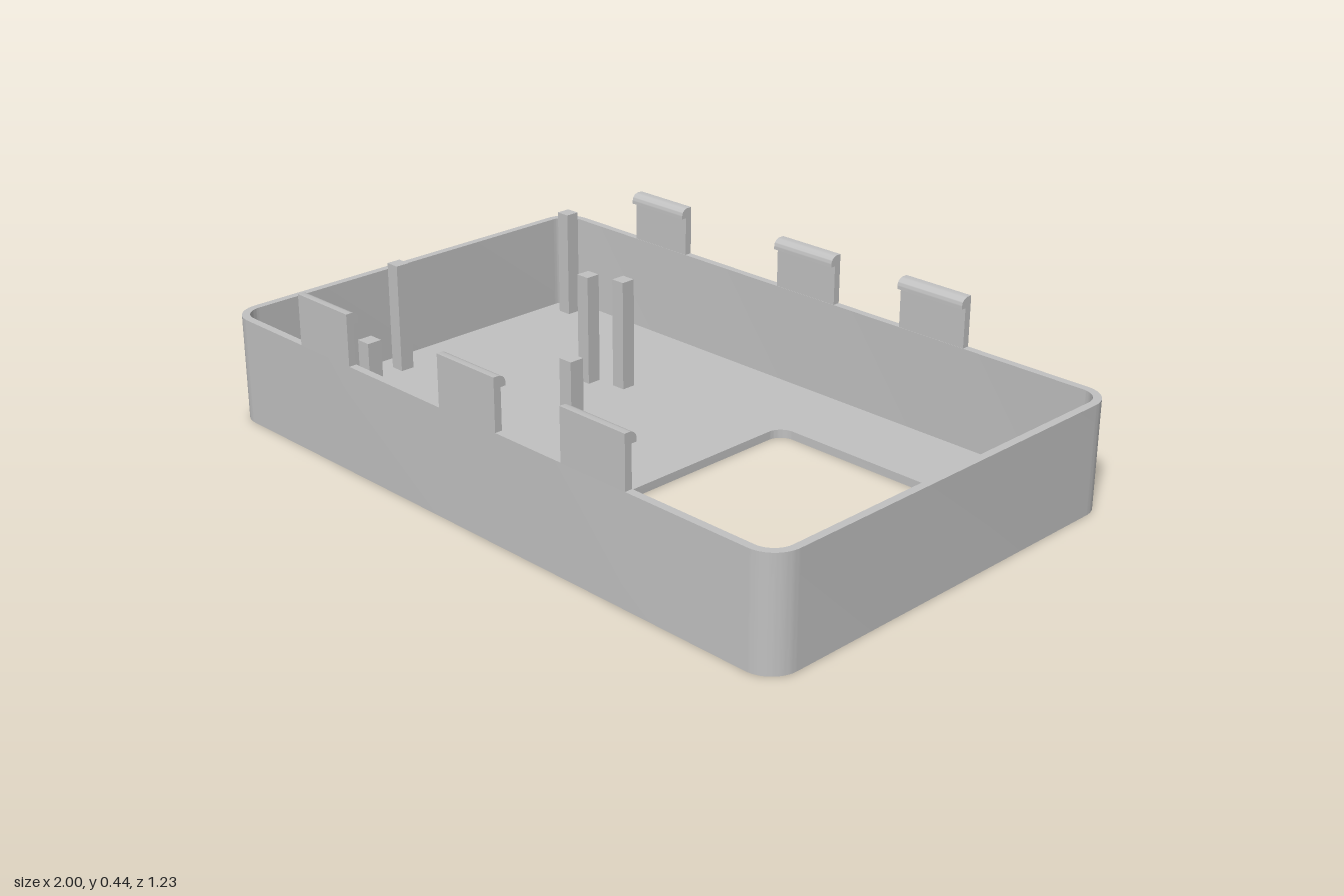
import * as THREE from 'three';
import { toCreasedNormals } from 'three/addons/utils/BufferGeometryUtils.js';

const HALF_X = 1, HALF_Z = 0.617, HEIGHT = 0.3, WALL = 0.022, FLOOR = 0.024, CORNER = 0.08;

// Traces a rounded rectangle into a Shape or Path
function roundedRect(path, x0, x1, y0, y1, r) {
  path.moveTo(x0 + r, y0);
  path.lineTo(x1 - r, y0);
  path.absarc(x1 - r, y0 + r, r, -Math.PI / 2, 0);
  path.lineTo(x1, y1 - r);
  path.absarc(x1 - r, y1 - r, r, 0, Math.PI / 2);
  path.lineTo(x0 + r, y1);
  path.absarc(x0 + r, y1 - r, r, Math.PI / 2, Math.PI);
  path.lineTo(x0, y0 + r);
  path.absarc(x0 + r, y0 + r, r, Math.PI, Math.PI * 1.5);
  return path;
}

function extrude(shape, depth) {
  return new THREE.ExtrudeGeometry(shape, { depth, bevelEnabled: false, curveSegments: 10 });
}

export function createModel() {
  const model = new THREE.Group();
  model.name = 'enclosureTray';
  const plastic = new THREE.MeshStandardMaterial({ color: 0xc0c0c0 });
  plastic.name = 'grey plastic';

  function add(name, geometry, x = 0, y = 0, z = 0) {
    const mesh = new THREE.Mesh(geometry, plastic);
    mesh.name = name;
    mesh.position.set(x, y, z);
    model.add(mesh);
    return mesh;
  }

  const ix = HALF_X - WALL, iz = HALF_Z - WALL, ir = CORNER - WALL;

  // Outer wall ring
  const ring = roundedRect(new THREE.Shape(), -HALF_X, HALF_X, -HALF_Z, HALF_Z, CORNER);
  ring.holes.push(roundedRect(new THREE.Path(), -ix, ix, -iz, iz, ir));
  add('wall', toCreasedNormals(extrude(ring, HEIGHT).rotateX(-Math.PI / 2), 0.5));

  // Floor with the display window
  const base = roundedRect(new THREE.Shape(), -ix, ix, -iz, iz, ir);
  base.holes.push(roundedRect(new THREE.Path(), 0.14, 0.865, -0.35, 0.35, 0.045));
  add('floor', toCreasedNormals(extrude(base, FLOOR).rotateX(-Math.PI / 2), 0.5));

  // Snap tabs with an inward hook, on both long sides
  const profile = new THREE.Shape();
  profile.moveTo(HALF_Z, HEIGHT);
  profile.lineTo(HALF_Z, 0.442);
  profile.lineTo(0.601, 0.442);
  profile.quadraticCurveTo(0.581, 0.438, 0.581, 0.42);
  profile.lineTo(0.581, 0.412);
  profile.lineTo(0.596, 0.412);
  profile.lineTo(0.596, HEIGHT);
  for (const [x0, x1] of [[-0.673, -0.467], [-0.107, 0.103], [0.333, 0.547]]) {
    const width = x1 - x0;
    const tab = extrude(profile, width).translate(0, 0, -width / 2).rotateY(-Math.PI / 2);
    const geometry = toCreasedNormals(tab, 0.6);
    add('frontSnapTab', geometry, (x0 + x1) / 2);
    add('backSnapTab', geometry, (x0 + x1) / 2).rotation.y = Math.PI;
  }

  // Square posts standing on the floor
  const postHeight = 0.342 - FLOOR;
  const post = new THREE.BoxGeometry(0.042, postHeight, 0.042);
  const spots = [[-0.903, -0.53], [-0.903, 0.117], [-0.46, -0.203],
    [-0.363, -0.245], [-0.04, 0.243], [-0.493, 0.53]];
  for (const [x, z] of spots) add('post', post, x, FLOOR + postHeight / 2, z);

  return model;
}
